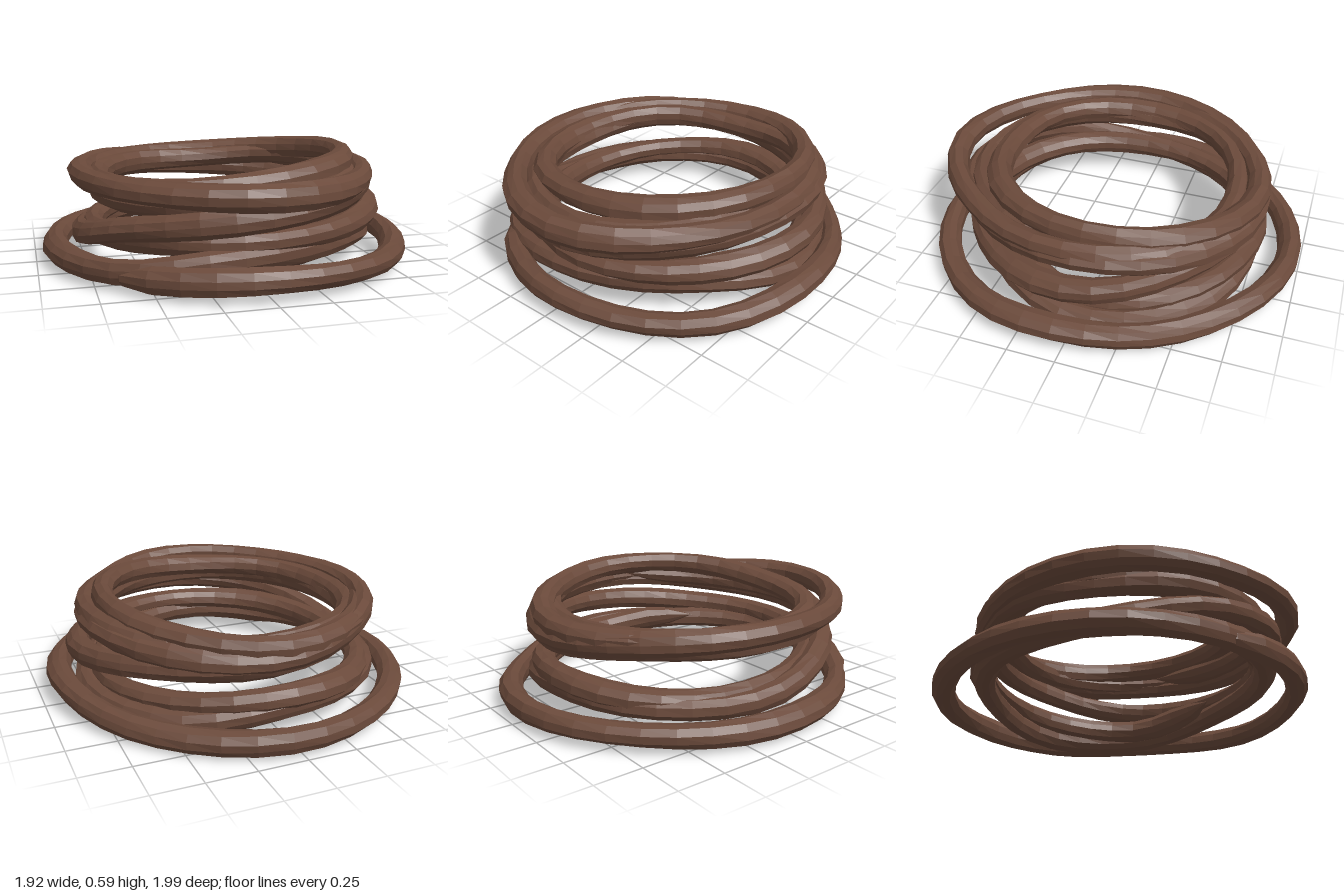
import * as THREE from 'three';

const SIDES = 10;

// Path given as [turn in degrees, distance from the axis, height];
// turn 0 is +x, 90 the back, 180 -x and 270 the front.
class CoilCurve extends THREE.Curve {
  constructor(keys) {
    super();
    this.spline = new THREE.CatmullRomCurve3(
      keys.map(([turn, r, y]) => new THREE.Vector3(turn / 90, r, y)));
  }
  getPoint(u, target = new THREE.Vector3()) {
    const p = this.spline.getPoint(u);
    const a = p.x * Math.PI / 2;
    return target.set(p.y * Math.cos(a), p.z, -p.y * Math.sin(a));
  }
}

// Gnarled tube with rounded ends
function makeStrand(name, keys, radius, material) {
  const curve = new CoilCurve(keys);
  const turns = (keys[keys.length - 1][0] - keys[0][0]) / 360;
  const segments = Math.round(turns * 32);
  const geometry = new THREE.TubeGeometry(curve, segments, radius, SIDES, false);
  const pos = geometry.attributes.position;
  const v = new THREE.Vector3();
  for (let i = 0; i <= segments; i++) {
    const centre = curve.getPointAt(i / segments);
    const fromEnd = Math.min(i, segments - i);
    const taper = [0, 0.75][fromEnd] ?? 1;
    for (let j = 0; j <= SIDES; j++) {
      const k = i * (SIDES + 1) + j;
      const a = (j % SIDES) / SIDES * Math.PI * 2;
      const wobble = 1 + 0.06 * Math.sin(2 * a + i * 0.37) + 0.05 * Math.sin(3 * a - i * 0.9)
        + 0.05 * Math.sin(i * 0.61);
      v.fromBufferAttribute(pos, k).sub(centre).multiplyScalar(wobble * taper).add(centre);
      pos.setXYZ(k, v.x, Math.max(v.y, 0), v.z);
    }
  }
  geometry.computeVertexNormals();
  const mesh = new THREE.Mesh(geometry, material);
  mesh.name = name;
  return mesh;
}

export function createModel() {
  const group = new THREE.Group();
  group.name = 'coiledVine';
  const bark = new THREE.MeshStandardMaterial({ color: 0x6b4a3b, flatShading: true });
  bark.name = 'brown bark';

  // Wide bottom loop, climbing at the front left into the upper coils
  group.add(makeStrand('outerStrand', [
    [215, 0.86, 0.08], [270, 0.935, 0.11], [315, 0.945, 0.095], [360, 0.89, 0.12],
    [405, 0.86, 0.075], [450, 0.94, 0.09], [495, 0.91, 0.09], [540, 0.9, 0.09],
    [585, 0.87, 0.1], [610, 0.81, 0.15], [630, 0.77, 0.17], [675, 0.71, 0.17],
    [720, 0.77, 0.11], [765, 0.76, 0.09], [810, 0.73, 0.15], [855, 0.74, 0.15],
    [900, 0.75, 0.16], [945, 0.79, 0.29], [990, 0.82, 0.37], [1035, 0.76, 0.41],
    [1080, 0.74, 0.45], [1125, 0.74, 0.43], [1170, 0.75, 0.41], [1215, 0.73, 0.46],
    [1260, 0.76, 0.48], [1305, 0.83, 0.48], [1350, 0.92, 0.48], [1395, 0.78, 0.46],
    [1440, 0.73, 0.47], [1485, 0.7, 0.46], [1530, 0.63, 0.43], [1575, 0.66, 0.44],
    [1620, 0.67, 0.44], [1665, 0.7, 0.46], [1710, 0.64, 0.49], [1755, 0.65, 0.53],
    [1800, 0.66, 0.54], [1845, 0.69, 0.5], [1890, 0.74, 0.46], [1935, 0.72, 0.47],
    [1975, 0.73, 0.47],
  ], 0.062, bark));

  // Inner strand, from the tucked lower end up to the middle coils
  group.add(makeStrand('innerStrand', [
    [-47, 0.61, 0.21], [-20, 0.66, 0.18], [0, 0.69, 0.15], [45, 0.71, 0.17],
    [90, 0.74, 0.21], [135, 0.73, 0.18], [180, 0.7, 0.18], [225, 0.71, 0.22],
    [270, 0.76, 0.24], [315, 0.76, 0.26], [360, 0.8, 0.3], [405, 0.73, 0.35],
    [450, 0.72, 0.38], [495, 0.69, 0.42], [540, 0.66, 0.41], [585, 0.74, 0.41],
    [630, 0.76, 0.42], [675, 0.69, 0.45], [710, 0.67, 0.48],
  ], 0.062, bark));

  return group;
}
